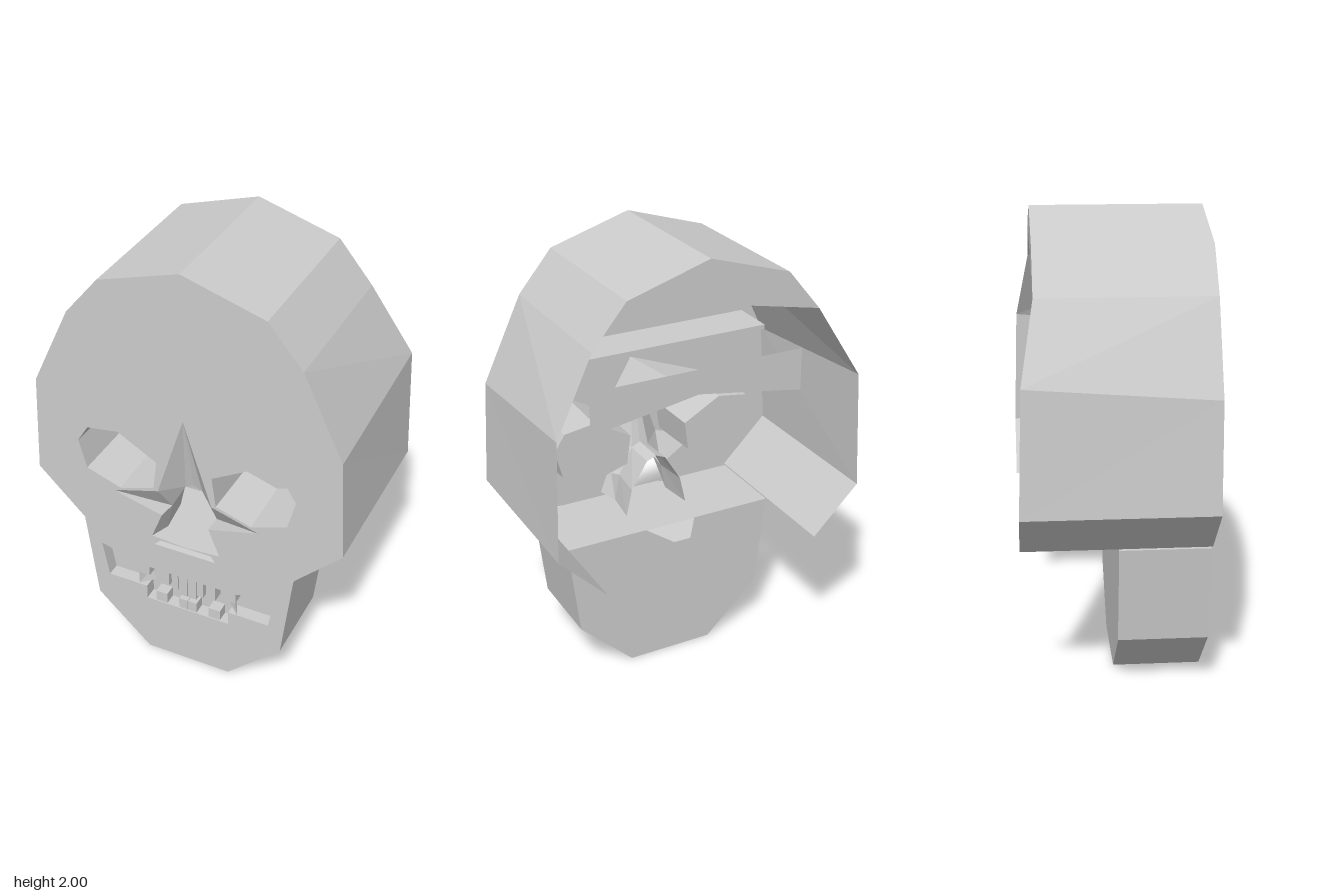
import * as THREE from 'three';

const bone = new THREE.MeshStandardMaterial({ color: 0xcccccc, side: THREE.DoubleSide });
bone.name = 'bone grey';

const FRONT = 0.39;
const v2 = (list) => list.map(([x, y]) => new THREE.Vector2(x, y));
const flip = (list) => list.map(([x, ...rest]) => [-x, ...rest]);
// closed symmetric outline from its +x half
const mirror = (half) => [...half, ...flip(half).reverse().filter(([x]) => x !== 0)];
const atZ = (list, z) => list.map(([x, y]) => [x, y, z]);

function part(group, name, geometry) {
  const mesh = new THREE.Mesh(geometry, bone);
  mesh.name = name;
  group.add(mesh);
  return mesh;
}

// flat facets, each a convex polygon split as a fan
function facets(polygons) {
  const pos = [];
  for (const p of polygons)
    for (let i = 1; i < p.length - 1; i++) pos.push(...p[0], ...p[i], ...p[i + 1]);
  const g = new THREE.BufferGeometry();
  g.setAttribute('position', new THREE.Float32BufferAttribute(pos, 3));
  g.computeVertexNormals();
  return g;
}

// quads joining two matching outlines
function strip(a, b, closed = false) {
  const quads = [];
  for (let i = 0; i < a.length - (closed ? 0 : 1); i++) {
    const j = (i + 1) % a.length;
    quads.push([a[i], a[j], b[j], b[i]]);
  }
  return quads;
}

function plate(outline, holes, z, depth) {
  const shape = new THREE.Shape(v2(outline));
  for (const h of holes) shape.holes.push(new THREE.Path(v2(h)));
  const g = depth
    ? new THREE.ExtrudeGeometry(shape, { depth, bevelEnabled: false })
    : new THREE.ShapeGeometry(shape);
  return g.translate(0, 0, z);
}

export function createModel() {
  const skull = new THREE.Group();
  skull.name = 'skull';

  // cranium: thin shell, open at the back and underneath
  const frontHalf = [[0, 2], [0.36, 1.89], [0.51, 1.71], [0.685, 1.34], [0.71, 0.88], [0.5, 0.67]];
  const backHalf = [[0, 2, -0.33], [0.36, 1.89, -0.33], [0.51, 1.71, -0.33],
    [0.69, 1.4, -0.385], [0.71, 0.88, -0.4], [0.5, 0.67, -0.4]];
  const frontRim = atZ(frontHalf, FRONT);
  part(skull, 'craniumShell', facets([
    ...strip(frontRim, backHalf), ...strip(flip(frontRim), flip(backHalf))]));
  part(skull, 'craniumBackCap', facets([[
    [0.36, 1.89, -0.33], [0, 2, -0.33], [-0.36, 1.89, -0.33], [-0.51, 1.71, -0.33]]]));

  // face plate with eye and nose openings
  const eye = [[0.5, 1.085], [0.45, 1.165], [0.305, 1.187], [0.127, 1.085],
    [0.145, 0.945], [0.305, 0.893], [0.465, 0.95]];
  const noseHalf = [[0, 1.33], [0.125, 0.935], [0.34, 0.87], [0.11, 0.81], [0.16, 0.68], [0, 0.668]];
  const faceOutline = mirror([...frontHalf, [0.15, 0.645], [0, 0.66]]);
  part(skull, 'facePlate', plate(faceOutline, [eye, flip(eye), mirror(noseHalf)], FRONT));

  // eye sockets, closed at the back
  for (const side of [1, -1]) {
    const rim = atZ(eye, FRONT).map(([x, y, z]) => [x * side, y, z]);
    const back = rim.map(([x, y]) => [side * 0.32 + (x - side * 0.32) * 0.96, 1.05 + (y - 1.05) * 0.94, 0.12]);
    part(skull, side > 0 ? 'leftEyeSocket' : 'rightEyeSocket', facets([...strip(rim, back, true), back]));
  }

  // nose: slopes in from the bridge to a hole that runs through
  const [a, b, c, e, f] = atZ(noseHalf, FRONT);
  const inner = [[0, 0.945, 0.3], [0.04, 0.925, 0.3], [0.106, 0.8, 0.3], [0.13, 0.675, 0.3]];
  const [r, t, d, g] = inner;
  const noseSide = [[a, b, t, r], [b, c, d, t], [c, e, d], [e, f, g, d],
    ...strip(inner, inner.map(([x, y]) => [x * 1.15, y, 0.14]))];
  part(skull, 'nose', facets([...noseSide, ...noseSide.map((p) => flip(p))]));
  part(skull, 'nasalFloor', facets([
    [[-0.14, 0.666, FRONT], [0.14, 0.666, FRONT], [0.12, 0.664, 0], [-0.12, 0.664, 0]],
    [[-0.12, 0.664, 0], [0.12, 0.664, 0], [0.04, 0.64, -0.11], [-0.04, 0.64, -0.11]]]));
  part(skull, 'upperLip', facets([
    [[-0.145, 0.645, 0.4], [0.145, 0.645, 0.4], [0.12, 0.665, FRONT], [-0.12, 0.665, FRONT]]]));

  // brow brace inside the cranium
  const top = [[-0.49, 1.51, -0.25], [0, 1.51, -0.25], [0.49, 1.51, -0.25]];
  const low = [[-0.49, 1.32, -0.25], [0, 1.4, -0.25], [0.49, 1.32, -0.25]];
  const bridge = [0, 1.33, FRONT - 0.005];
  part(skull, 'browBrace', facets([...strip(top, low),
    [low[0], low[1], bridge], [low[1], low[2], bridge]]));
  const shelf = new THREE.BoxGeometry(0.98, 0.02, 0.2);
  part(skull, 'browShelf', shelf).position.set(0, 1.5, 0.15);

  // jaw: block with a shallow mouth recess
  const jaw = mirror([[0.5, 0.663], [0.45, 0.24], [0.2, 0]]);
  const mouth = mirror([[0.23, 0.485], [0.42, 0.54], [0.39, 0.367], [0.2, 0.367], [0.2, 0.298]]);
  part(skull, 'jawBlock', plate(jaw, [], 0.005, 0.32));
  part(skull, 'jawFront', plate(jaw, [mouth], 0.325, 0.06));

  // teeth: centre x, bottom, top, width
  const teeth = [[0.022, 0.375, 0.485, 0.04], [0.062, 0.4, 0.485, 0.03], [0.113, 0.405, 0.485, 0.045],
    [0.21, 0.43, 0.485, 0.045], [0.13, 0.298, 0.35, 0.055], [0.022, 0.298, 0.35, 0.042]];
  for (const side of [1, -1]) {
    for (const [x, y0, y1, w] of teeth)
      part(skull, y0 < 0.3 ? 'lowerTooth' : 'upperTooth', new THREE.BoxGeometry(w, y1 - y0, 0.055))
        .position.set(side * x, (y0 + y1) / 2, 0.352);
    // slanted gum at the mouth corner
    const gum = [[0.24, 0.367, 0.38], [0.185, 0.367, 0.328], [0.2, 0.43, 0.328], [0.24, 0.43, 0.38]];
    part(skull, 'gum', facets([side > 0 ? gum : flip(gum)]));
  }
  return skull;
}
